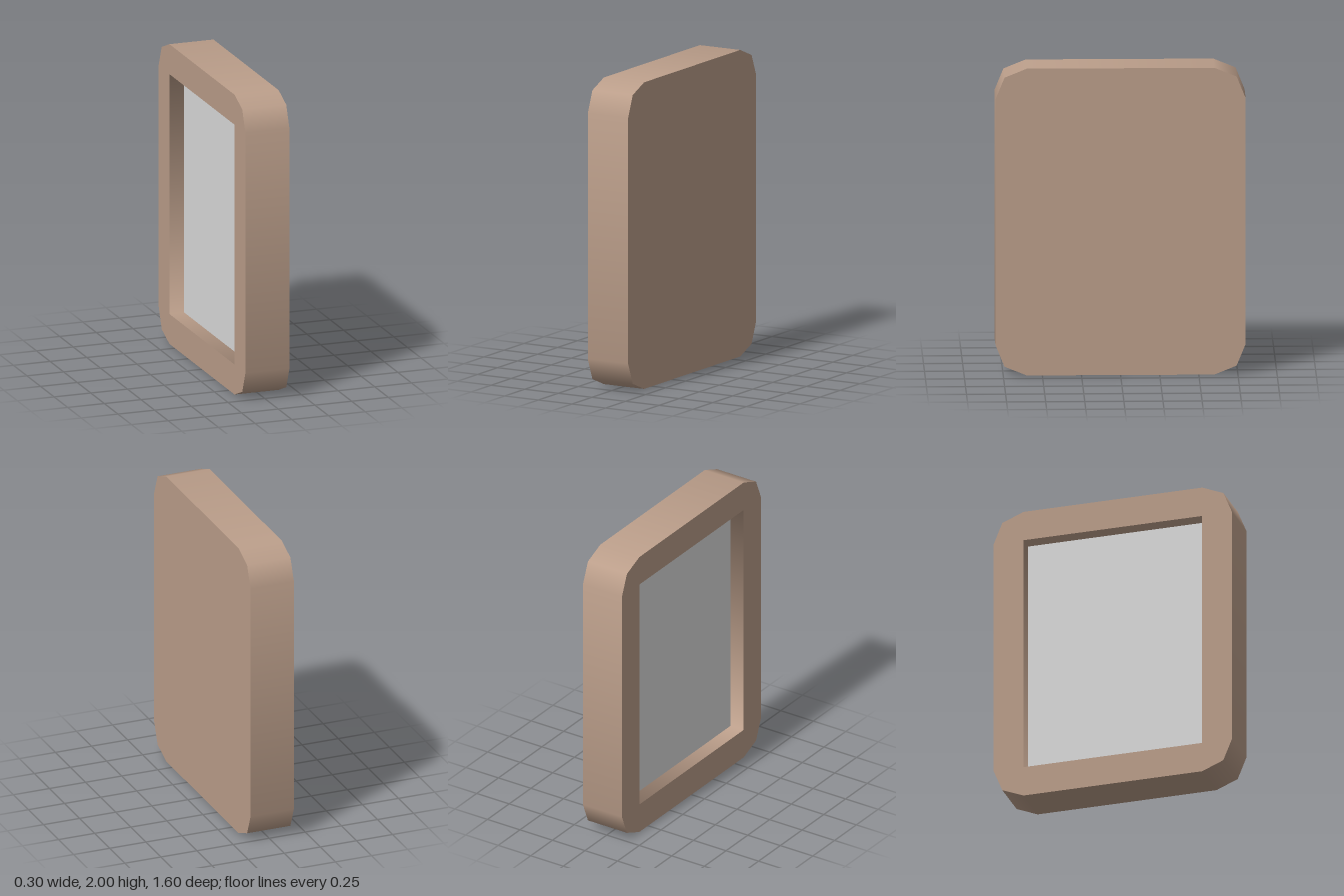
import * as THREE from 'three';

const HALF_THICK = 0.15; // half the frame's thickness
const PANEL_Z = 0.05;    // depth position of the recessed panel

// Counter-clockwise outline with cut corners, built from mirrored quadrants
function frameOutline() {
  const corner = [[0.8, 0.8], [0.742, 0.942], [0.6, 1]];
  const points = [];
  for (const [sx, sy] of [[1, 1], [-1, 1], [-1, -1], [1, -1]]) {
    const quadrant = corner.map(([x, y]) => new THREE.Vector2(x * sx, y * sy));
    points.push(...(sx * sy > 0 ? quadrant : quadrant.reverse()));
  }
  return points;
}

// Smooth-shaded band that follows a closed outline between two depths
function wall(outline, z0, z1) {
  const n = outline.length;
  const edgeNormal = (i) => {
    const d = outline[(i + 1) % n].clone().sub(outline[i % n]).normalize();
    return new THREE.Vector2(d.y, -d.x);
  };
  const positions = [], normals = [], index = [];
  outline.forEach((p, i) => {
    const normal = edgeNormal(i).add(edgeNormal(i + n - 1)).normalize();
    positions.push(p.x, p.y, z0, p.x, p.y, z1);
    normals.push(normal.x, normal.y, 0, normal.x, normal.y, 0);
    const a = 2 * i, b = 2 * ((i + 1) % n);
    index.push(a, b, b + 1, a, b + 1, a + 1);
  });
  const geometry = new THREE.BufferGeometry();
  geometry.setAttribute('position', new THREE.Float32BufferAttribute(positions, 3));
  geometry.setAttribute('normal', new THREE.Float32BufferAttribute(normals, 3));
  geometry.setIndex(index);
  return geometry;
}

export function createModel() {
  const brown = new THREE.MeshStandardMaterial({ color: 0xbb9e8a });
  brown.name = 'frame brown';
  const grey = new THREE.MeshStandardMaterial({ color: 0xdbdbdb });
  grey.name = 'panel grey';

  const model = new THREE.Group();
  model.name = 'framedPanel';
  const add = (name, geometry, material) => {
    const mesh = new THREE.Mesh(geometry, material);
    mesh.name = name;
    model.add(mesh);
    // Local +z, the open side, turns to face -x
    geometry.rotateY(-Math.PI / 2).translate(0, 1, 0);
  };

  const outline = frameOutline();
  const opening = [[0.6, 0.8], [-0.6, 0.8], [-0.6, -0.8], [0.6, -0.8]]
    .map(([x, y]) => new THREE.Vector2(x, y));

  // Frame: outer rim, solid backing, face ring and the walls of the opening
  add('frameRim', wall(outline, -HALF_THICK, HALF_THICK), brown);

  const backing = new THREE.ShapeGeometry(new THREE.Shape(outline));
  add('frameBacking', backing.rotateY(Math.PI).translate(0, 0, -HALF_THICK), brown);

  const ring = new THREE.Shape(outline);
  ring.holes.push(new THREE.Path(opening));
  add('frameFace', new THREE.ShapeGeometry(ring).translate(0, 0, HALF_THICK), brown);

  add('openingWalls', wall([...opening].reverse(), PANEL_Z, HALF_THICK), brown);

  // Recessed panel
  add('panel', new THREE.PlaneGeometry(1.2, 1.6).translate(0, 0, PANEL_Z), grey);

  return model;
}
